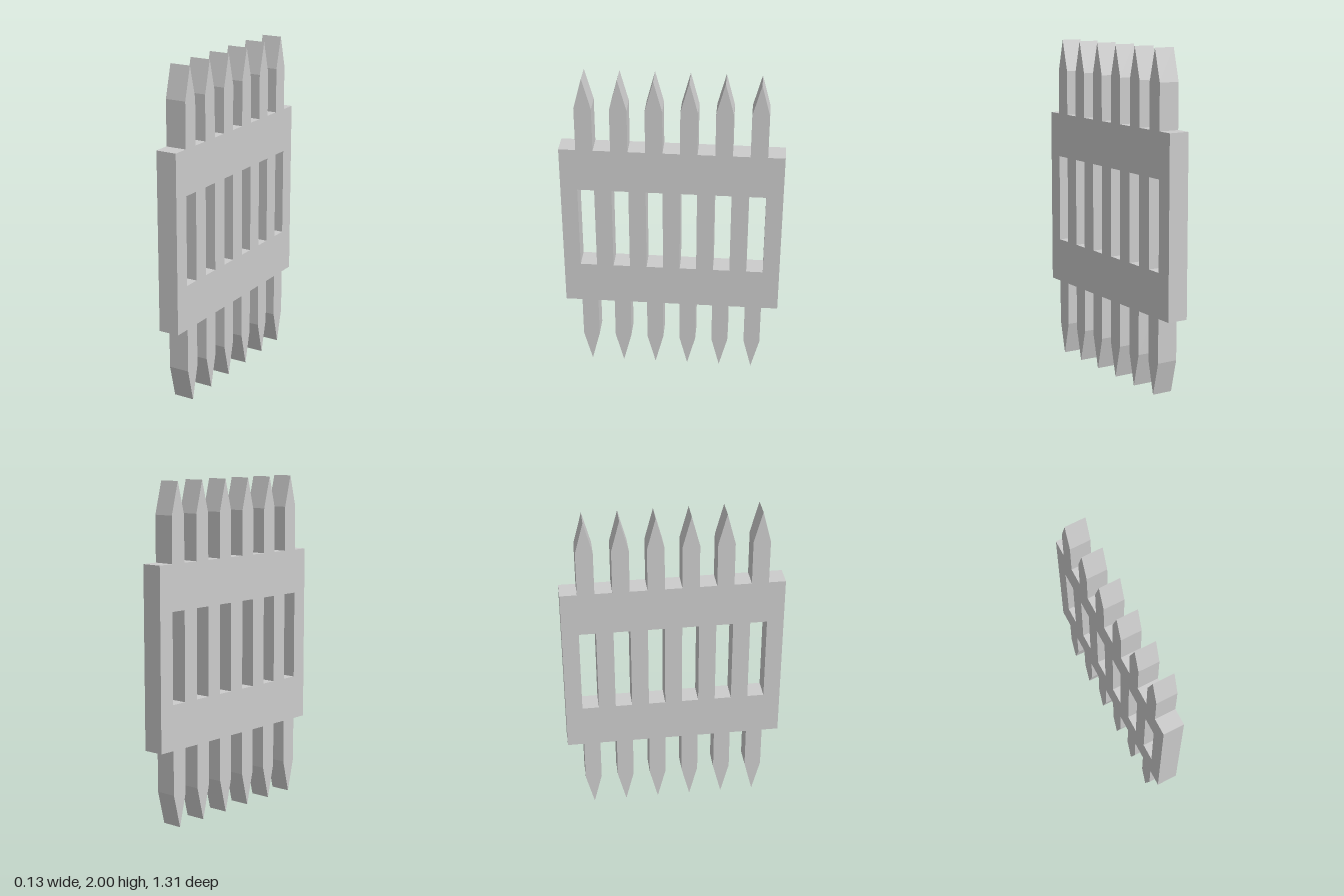
import * as THREE from 'three';

const THICKNESS = 0.127;
const HALF_LENGTH = 0.655;
const RAIL_BOTTOM = 0.465, RAIL_TOP = 1.54;
const SLOT_BOTTOM = 0.735, SLOT_TOP = 1.27;
const SHOULDER_LOW = 0.2, SHOULDER_HIGH = 1.81;
const COUNT = 6, PITCH = 0.202, HALF_WIDTH = 0.05;

export function createModel() {
  const group = new THREE.Group();
  group.name = 'spikedFence';

  // Centres shared by the spikes and the slots
  const centres = Array.from({ length: COUNT }, (_, i) => (i - (COUNT - 1) / 2) * PITCH);

  // Outline: lower spikes left to right, then upper spikes back again
  const outline = new THREE.Shape();
  const addSpike = (c, dir, base, shoulder, tip) => {
    const w = HALF_WIDTH * dir;
    outline.lineTo(c - w, base);
    outline.lineTo(c - w, shoulder);
    outline.lineTo(c, tip);
    outline.lineTo(c + w, shoulder);
    outline.lineTo(c + w, base);
  };
  outline.moveTo(-HALF_LENGTH, RAIL_BOTTOM);
  for (const c of centres) addSpike(c, 1, RAIL_BOTTOM, SHOULDER_LOW, 0);
  outline.lineTo(HALF_LENGTH, RAIL_BOTTOM);
  outline.lineTo(HALF_LENGTH, RAIL_TOP);
  for (const c of [...centres].reverse()) addSpike(c, -1, RAIL_TOP, SHOULDER_HIGH, 2);
  outline.lineTo(-HALF_LENGTH, RAIL_TOP);
  outline.closePath();

  // Rectangular slots through the middle of the panel
  for (const c of centres) {
    const slot = new THREE.Path();
    slot.moveTo(c - HALF_WIDTH, SLOT_BOTTOM);
    slot.lineTo(c - HALF_WIDTH, SLOT_TOP);
    slot.lineTo(c + HALF_WIDTH, SLOT_TOP);
    slot.lineTo(c + HALF_WIDTH, SLOT_BOTTOM);
    slot.closePath();
    outline.holes.push(slot);
  }

  // Extrude the outline and turn it so its length runs along z
  const geometry = new THREE.ExtrudeGeometry(outline, { depth: THICKNESS, bevelEnabled: false });
  geometry.translate(0, 0, -THICKNESS / 2);
  geometry.rotateY(-Math.PI / 2);

  const material = new THREE.MeshStandardMaterial({ color: 0xcccccc, flatShading: true });
  const panel = new THREE.Mesh(geometry, material);
  panel.name = 'slottedPanelWithSpikes';
  group.add(panel);
  return group;
}
